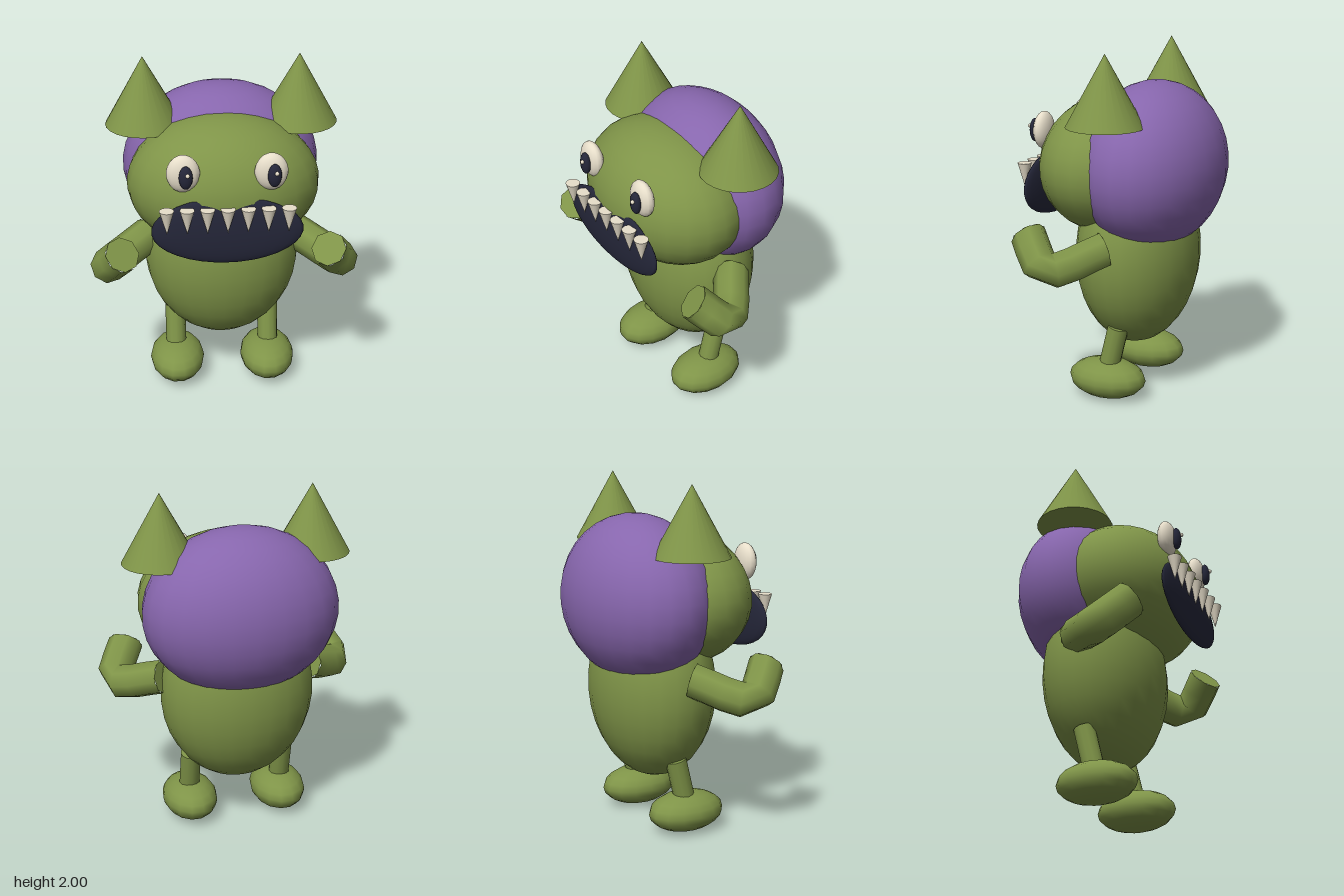
import * as THREE from 'three';

const paint = (color) => new THREE.MeshStandardMaterial({ color });
const green = paint(0x7f9448), purple = paint(0x8766ad), cream = paint(0xe8dfcb), navy = paint(0x25273a);

export function createModel() {
  const model = new THREE.Group();

  const add = (name, geometry, material, x = 0, y = 0, z = 0) => {
    const mesh = new THREE.Mesh(geometry, material);
    mesh.name = name;
    mesh.position.set(x, y, z);
    model.add(mesh);
    return mesh;
  };
  const ellipsoid = (name, material, [x, y, z], [rx, ry, rz], segments = 20) =>
    add(name, new THREE.SphereGeometry(1, segments, Math.round(segments * 0.7)).scale(rx, ry, rz), material, x, y, z);

  // Flat disc closing one end of an arm
  const cap = (name, point, direction, radius) => {
    const disc = add(name, new THREE.CircleGeometry(radius, 8), green, point.x, point.y, point.z);
    disc.material = armEnd;
    disc.quaternion.setFromUnitVectors(new THREE.Vector3(0, 0, 1), direction);
  };
  const armEnd = green.clone();
  armEnd.side = THREE.DoubleSide;

  // Body, face and hood
  ellipsoid('body', green, [0, 0.82, -0.055], [0.445, 0.54, 0.338], 24);
  ellipsoid('head', green, [0, 1.322, 0.1], [0.535, 0.393, 0.393], 24);
  ellipsoid('hood', purple, [0, 1.33, -0.148], [0.557, 0.475, 0.393], 24);

  // Mouth and hanging teeth
  ellipsoid('mouth', navy, [0, 1.195, 0.461], [0.41, 0.197, 0.036], 24);
  for (let i = -3; i <= 3; i++) {
    add('tooth', new THREE.ConeGeometry(0.04, 0.14, 16).rotateX(Math.PI), cream, i * 0.1085, 1.27, 0.503);
  }

  for (const s of [-1, 1]) {
    const side = s > 0 ? 'left' : 'right';

    // Ear
    add(side + 'Ear', new THREE.ConeGeometry(0.215, 0.39, 24), green, s * 0.43, 1.805, -0.058);

    // Eye, both pupils looking slightly to the same side
    ellipsoid(side + 'Eye', cream, [s * 0.234, 1.52, 0.426], [0.09, 0.106, 0.049], 16);
    ellipsoid(side + 'Pupil', navy, [s * 0.234 + 0.013, 1.518, 0.478], [0.037, 0.066, 0.026], 14);
    ellipsoid(side + 'Glint', cream, [s * 0.234 + 0.022, 1.54, 0.504], [0.012, 0.012, 0.012], 8);

    // Bent arm with a raised fist
    const path = new THREE.CatmullRomCurve3([
      new THREE.Vector3(s * 0.42, 0.925, -0.04),
      new THREE.Vector3(s * 0.66, 0.845, 0.185),
      new THREE.Vector3(s * 0.57, 1.0, 0.345),
    ]);
    add(side + 'Arm', new THREE.TubeGeometry(path, 6, 0.1, 8), green);
    cap(side + 'Fist', path.getPoint(1), path.getTangent(1), 0.1);
    cap(side + 'Shoulder', path.getPoint(0), path.getTangent(0).negate(), 0.1);

    // Leg leaning back, and foot
    const leg = add(side + 'Leg', new THREE.CylinderGeometry(0.06, 0.06, 0.32, 12), green, s * 0.275, 0.28, -0.02);
    leg.rotation.x = -0.24;
    ellipsoid(side + 'Foot', green, [s * 0.27, 0.118, 0.015], [0.16, 0.115, 0.23], 14);
  }

  return model;
}
